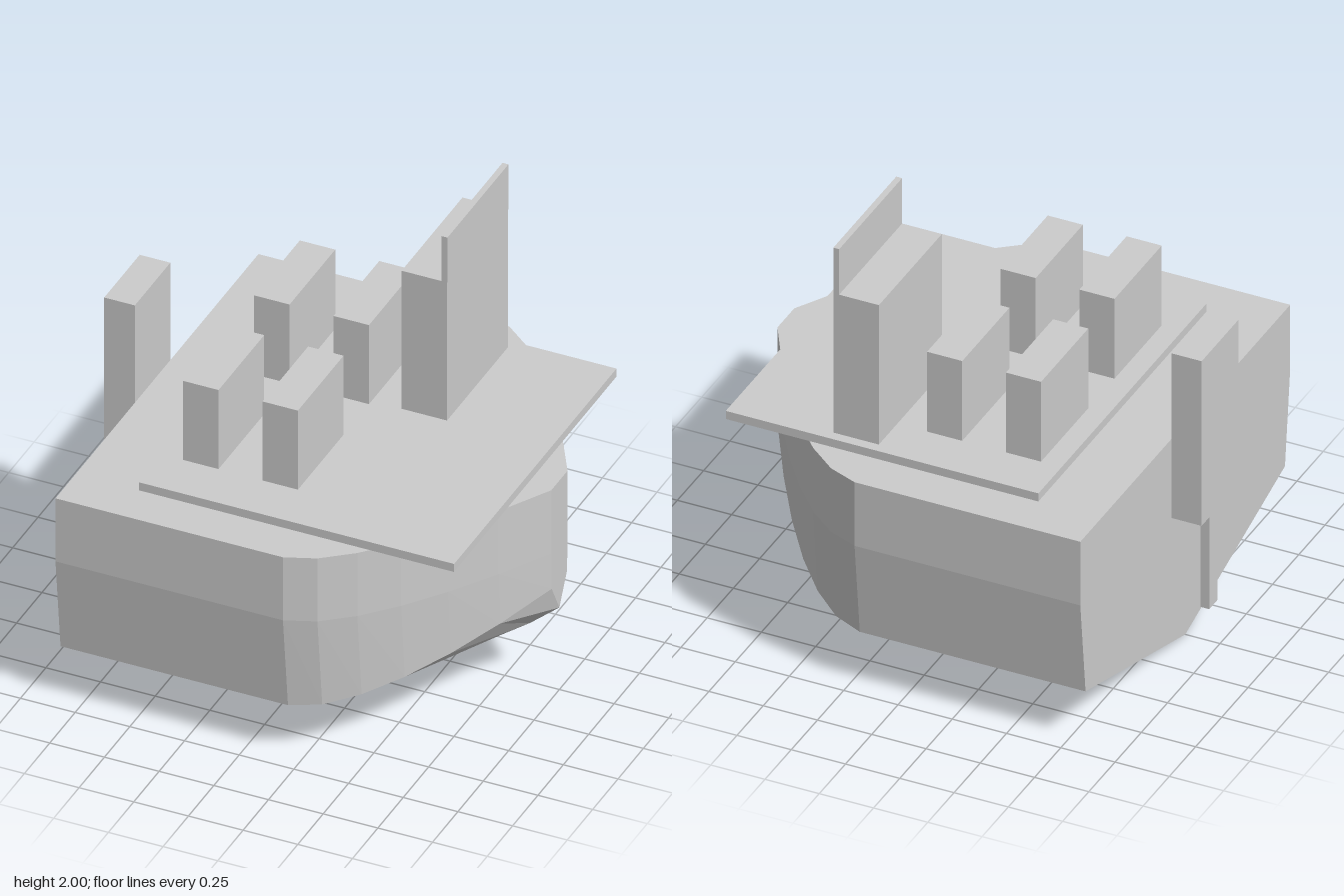
import * as THREE from 'three';

const material = new THREE.MeshStandardMaterial({ color: 0xcccccc, flatShading: true });

// Box given by its [min, max] extents on each axis
function box(name, [x0, x1], [y0, y1], [z0, z1]) {
  const mesh = new THREE.Mesh(new THREE.BoxGeometry(x1 - x0, y1 - y0, z1 - z0), material);
  mesh.position.set((x0 + x1) / 2, (y0 + y1) / 2, (z0 + z1) / 2);
  mesh.name = name;
  return mesh;
}

// Hull cross-section: t = 0 amidships, t = 1 at the bow
function section(x, t) {
  const rise = Math.pow(t, 1.8);
  const w = 1 - 0.92 * Math.pow(t, 1.6);
  const half = [[1.045, w], [0.73, w], [0.275 + 0.275 * rise, 0.95 * w]];
  return [
    ...half.map(([y, z]) => [x, y, z]),
    [x, 0.41 * rise, 0],
    ...half.reverse().map(([y, z]) => [x, y, -z]),
  ];
}

// V-bottom hull lofted from stern to bow, with transom, bow plate and flat top
function hull() {
  const stations = [section(-0.84, 0)];
  for (let i = 0; i <= 6; i++) stations.push(section(0.2 + 0.8 * i / 6, i / 6));
  const pos = [];
  const tri = (...points) => points.forEach(p => pos.push(...p));
  for (let i = 0; i < stations.length - 1; i++) {
    const s = stations[i], n = stations[i + 1];
    for (let j = 0; j < s.length; j++) {
      const k = (j + 1) % s.length;
      tri(s[j], s[k], n[k]);
      tri(s[j], n[k], n[j]);
    }
  }
  const stern = stations[0], bow = stations[stations.length - 1];
  for (let j = 1; j < stern.length - 1; j++) {
    tri(stern[0], stern[j + 1], stern[j]);
    tri(bow[0], bow[j], bow[j + 1]);
  }
  const geometry = new THREE.BufferGeometry();
  geometry.setAttribute('position', new THREE.Float32BufferAttribute(pos, 3));
  geometry.computeVertexNormals();
  const mesh = new THREE.Mesh(geometry, material);
  mesh.name = 'hull';
  return mesh;
}

export function createModel() {
  const model = new THREE.Group();
  model.name = 'boat';
  model.add(hull());
  model.add(box('deck', [-0.55, 0.89], [1.045, 1.085], [-0.8, 0.8]));

  // Two rows of seats
  const seats = new THREE.Group();
  seats.name = 'seats';
  for (const x of [-0.455, -0.092]) {
    for (const z of [-0.578, 0.122]) {
      seats.add(box('seat', [x, x + 0.162], [1.085, 1.48], [z, z + 0.45]));
    }
  }
  model.add(seats);

  // Steering console with windscreen
  model.add(box('console', [0.207, 0.415], [1.085, 1.775], [-0.754, -0.154]));
  model.add(box('windscreen', [0.39, 0.417], [1.775, 2], [-0.754, -0.154]));

  // Outboard motor
  const motor = new THREE.Group();
  motor.name = 'outboardMotor';
  motor.add(box('motorHousing', [-1, -0.86], [0.685, 1.5], [-0.175, 0.175]));
  motor.add(box('motorShaft', [-0.97, -0.93], [0.185, 0.685], [-0.04, 0.04]));
  model.add(motor);
  return model;
}
